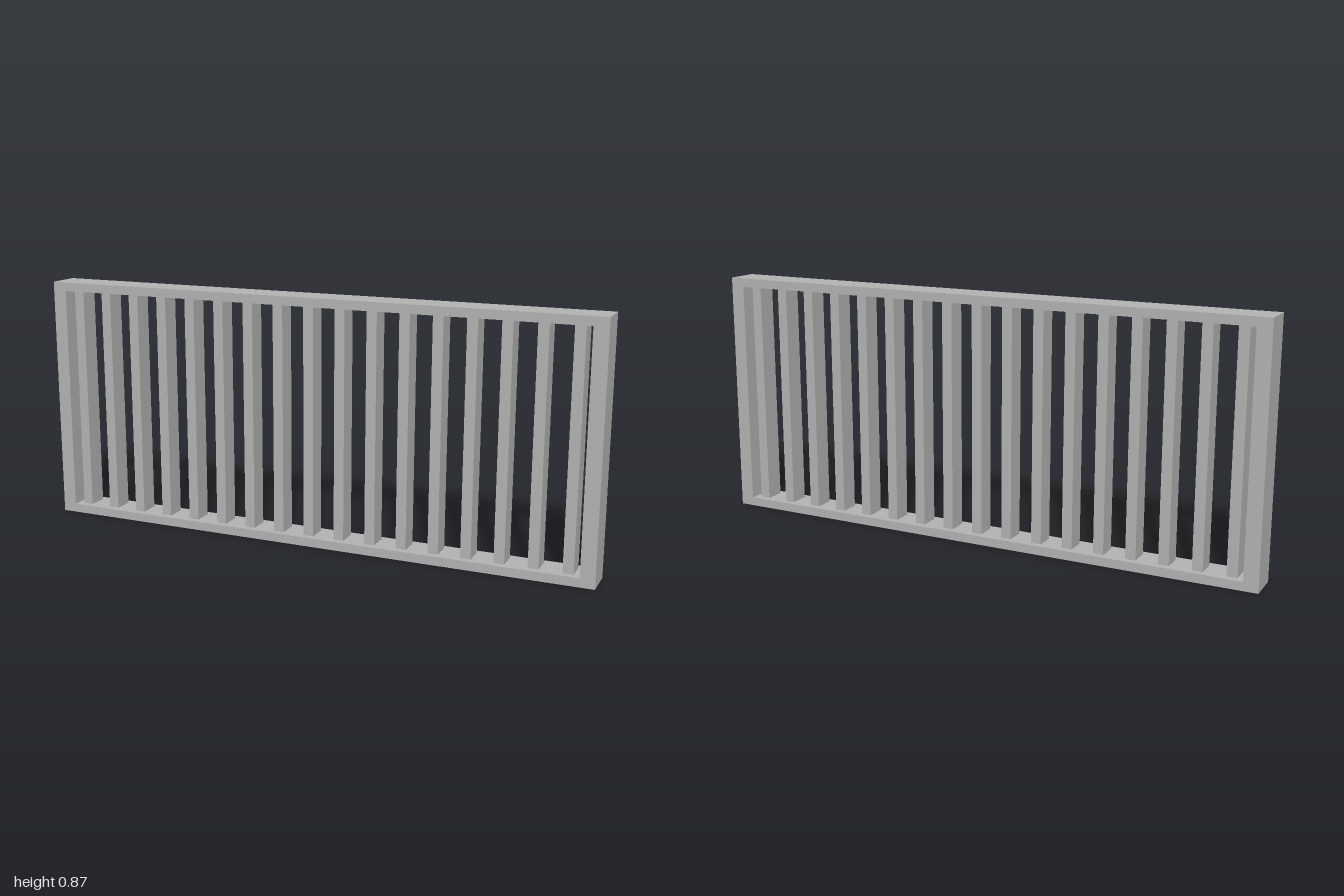
import * as THREE from 'three';

const WIDTH = 2, HEIGHT = 0.866, DEPTH = 0.116;
const STILE = 0.05, RAIL = 0.031;
const SLATS = 17, SPACING = 0.1135, SLAT_WIDTH = 0.036, SLAT_DEPTH = 0.07;

export function createModel() {
  const group = new THREE.Group();
  group.name = 'slattedPanel';
  const grey = new THREE.MeshStandardMaterial({ color: 0xb3b3b3 });
  grey.name = 'light grey';

  const addBox = (name, w, h, d, x, y) => {
    const mesh = new THREE.Mesh(new THREE.BoxGeometry(w, h, d), grey);
    mesh.name = name;
    mesh.position.set(x, y, 0);
    group.add(mesh);
  };

  // Outer frame: full-height stiles with rails between them
  const innerWidth = WIDTH - 2 * STILE;
  addBox('leftStile', STILE, HEIGHT, DEPTH, (WIDTH - STILE) / 2, HEIGHT / 2);
  addBox('rightStile', STILE, HEIGHT, DEPTH, -(WIDTH - STILE) / 2, HEIGHT / 2);
  addBox('bottomRail', innerWidth, RAIL, DEPTH, 0, RAIL / 2);
  addBox('topRail', innerWidth, RAIL, DEPTH, 0, HEIGHT - RAIL / 2);

  // Evenly spaced upright slats, thinner than the frame
  for (let i = 0; i < SLATS; i++) {
    const x = (i - (SLATS - 1) / 2) * SPACING;
    addBox(`slat${i + 1}`, SLAT_WIDTH, HEIGHT - 2 * RAIL, SLAT_DEPTH, x, HEIGHT / 2);
  }
  return group;
}
